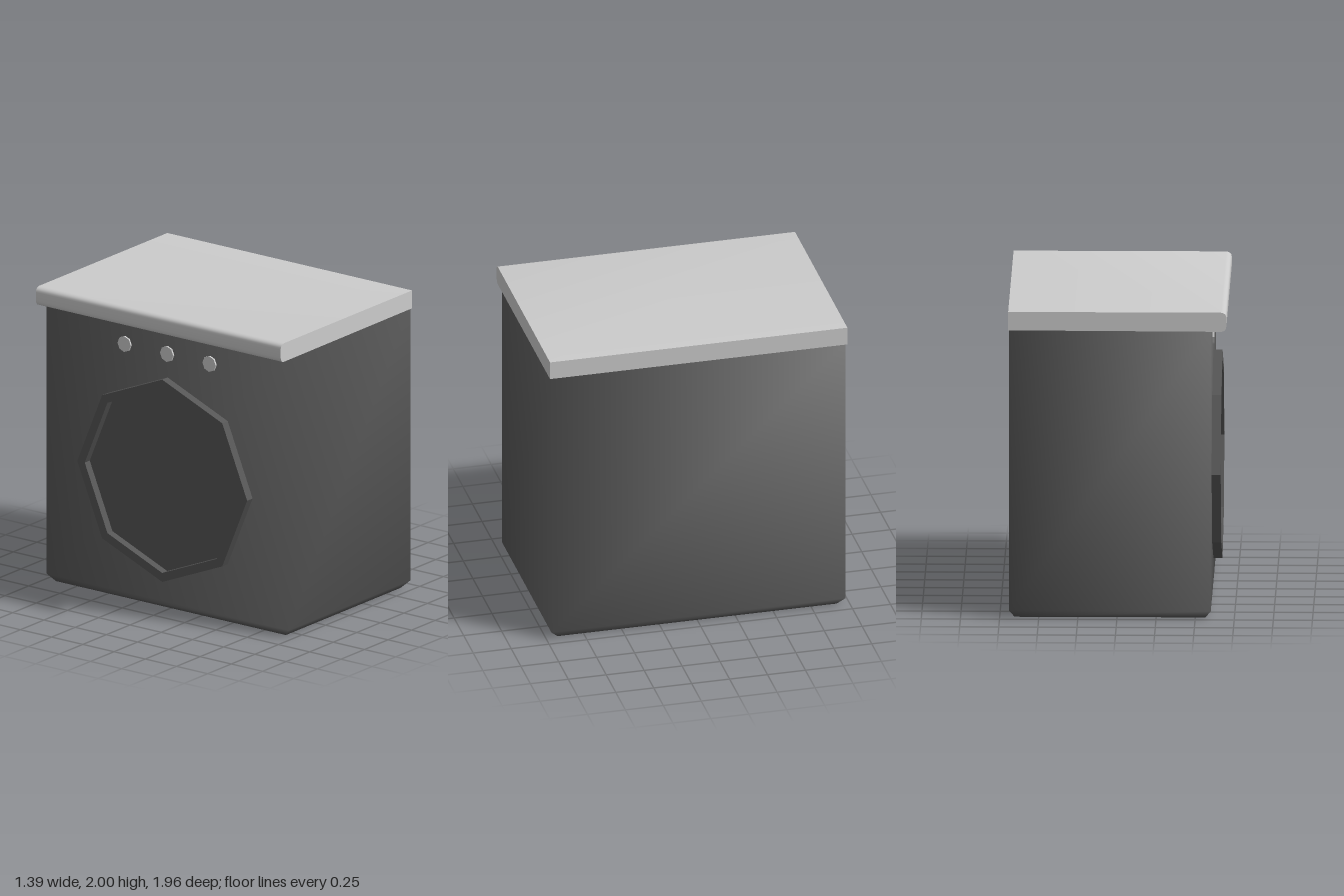
import * as THREE from 'three';
import { toCreasedNormals } from 'three/addons/utils/BufferGeometryUtils.js';

const casing = new THREE.MeshStandardMaterial({ color: 0x555555 });
casing.name = 'darkGrey';
const light = new THREE.MeshStandardMaterial({ color: 0xcccccc });
light.name = 'lightGrey';

function add(group, name, geometry, material) {
  const mesh = new THREE.Mesh(geometry, material);
  mesh.name = name;
  group.add(mesh);
  return mesh;
}

// Box with a chamfered foot, built from three rectangular rings with shared vertices
function cabinetGeometry() {
  const x0 = -0.6, x1 = 0.69, z = 0.97;
  const pos = [], index = [];
  for (const [y, dx, dz] of [[0, 0.035, 0.05], [0.05, 0, 0], [1.89, 0, 0]]) {
    pos.push(x0 + dx, y, z - dz, x1 - dx, y, z - dz, x1 - dx, y, -z + dz, x0 + dx, y, -z + dz);
  }
  for (let r = 0; r < 2; r++) {
    for (let i = 0; i < 4; i++) {
      const a = r * 4 + i, b = r * 4 + (i + 1) % 4;
      index.push(a, b, b + 4, a, b + 4, a + 4);
    }
  }
  index.push(0, 2, 1, 0, 3, 2, 8, 9, 10, 8, 10, 11);
  const g = new THREE.BufferGeometry();
  g.setAttribute('position', new THREE.Float32BufferAttribute(pos, 3));
  g.setIndex(index);
  g.computeVertexNormals();
  return g;
}

// Worktop profile with a rounded edge over the door, extruded along z
function worktopGeometry() {
  const s = new THREE.Shape();
  s.moveTo(0.695, 1.88);
  s.lineTo(0.695, 2);
  s.lineTo(-0.665, 2);
  s.quadraticCurveTo(-0.7, 1.995, -0.7, 1.965);
  s.lineTo(-0.7, 1.91);
  s.quadraticCurveTo(-0.695, 1.875, -0.665, 1.875);
  s.closePath();
  const g = new THREE.ExtrudeGeometry(s, { depth: 1.96, bevelEnabled: false, curveSegments: 5 });
  g.translate(0, 0, -0.98);
  return toCreasedNormals(g, 0.8);
}

function octagon(radius) {
  return Array.from({ length: 8 }, (_, i) =>
    new THREE.Vector2(Math.cos(i * Math.PI / 4), Math.sin(i * Math.PI / 4)).multiplyScalar(radius));
}

export function createModel() {
  const model = new THREE.Group();
  model.name = 'washingMachine';
  add(model, 'cabinet', cabinetGeometry(), casing);
  add(model, 'worktop', worktopGeometry(), light);

  // Octagonal door frame and its flat panel, facing -x
  const door = new THREE.Group();
  door.name = 'door';
  door.position.set(-0.6, 0.88, 0);
  door.rotation.y = -Math.PI / 2;
  model.add(door);
  const frame = new THREE.Shape(octagon(0.68));
  frame.holes.push(new THREE.Path(octagon(0.62)));
  add(door, 'doorFrame', new THREE.ExtrudeGeometry(frame, { depth: 0.058, bevelEnabled: false }), casing);
  const panel = add(door, 'doorPanel', new THREE.ShapeGeometry(new THREE.Shape(octagon(0.63))), casing);
  panel.position.z = 0.005;

  // Row of three control knobs
  for (const z of [-0.34, 0, 0.34]) {
    const g = new THREE.CylinderGeometry(0.053, 0.053, 0.03, 8).toNonIndexed();
    g.computeVertexNormals();
    const knob = add(model, 'knob', g, light);
    knob.rotation.z = Math.PI / 2;
    knob.position.set(-0.597, 1.72, z);
  }
  return model;
}
